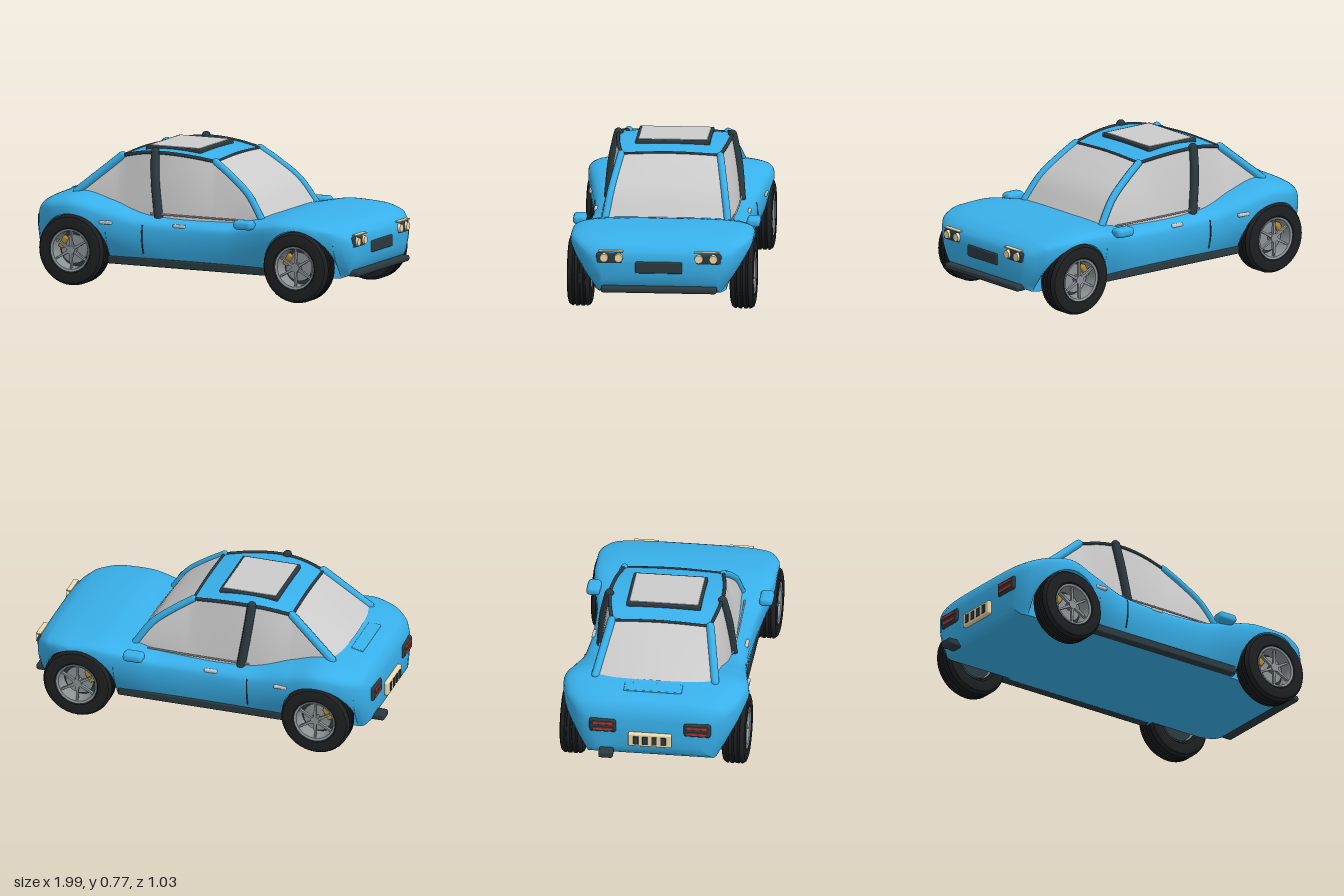
import * as THREE from 'three';
import { toCreasedNormals } from 'three/addons/utils/BufferGeometryUtils.js';
import { RoundedBoxGeometry } from 'three/addons/geometries/RoundedBoxGeometry.js';

const mat = (color, side = THREE.FrontSide) => new THREE.MeshStandardMaterial({ color, side });
const paint = mat(0x38b0ea), paintThin = mat(0x38b0ea, THREE.DoubleSide), dark = mat(0x2b3a40), rubber = mat(0x1d2022);
const glass = mat(0xcccccc, THREE.DoubleSide), grey = mat(0xcccccc), rimGrey = mat(0x8b9397, THREE.DoubleSide);
const cream = mat(0xf0dcae), gold = mat(0xb58a30), red = mat(0xb03a34);
const V = (x, y, z) => new THREE.Vector3(x, y, z);

// Body keys: x, half width, top, bottom, lower half width, height of the widest point
const KEYS = [
  [-0.95, 0.30, 0.36, 0.20, 0.28, 0.29], [-0.94, 0.36, 0.41, 0.16, 0.32, 0.31], [-0.90, 0.42, 0.455, 0.13, 0.35, 0.35],
  [-0.80, 0.485, 0.49, 0.13, 0.38, 0.39], [-0.675, 0.51, 0.51, 0.13, 0.40, 0.40], [-0.50, 0.485, 0.475, 0.13, 0.40, 0.35],
  [-0.25, 0.447, 0.415, 0.13, 0.405, 0.30], [0, 0.435, 0.405, 0.13, 0.405, 0.30], [0.25, 0.445, 0.405, 0.13, 0.405, 0.31],
  [0.40, 0.47, 0.43, 0.13, 0.405, 0.35], [0.60, 0.50, 0.46, 0.13, 0.40, 0.38], [0.75, 0.50, 0.45, 0.13, 0.38, 0.385],
  [0.88, 0.455, 0.425, 0.13, 0.34, 0.37], [0.94, 0.40, 0.395, 0.15, 0.32, 0.33], [0.965, 0.36, 0.37, 0.20, 0.32, 0.31],
  [0.975, 0.33, 0.35, 0.24, 0.31, 0.30]];
const WHEELS = [-0.675, 0.695], WHEEL_Y = 0.198, ARCH = 0.201, N = 4;

// Smooth interpolation of the body keys
function section(x) {
  let i = 0;
  while (i < KEYS.length - 2 && x > KEYS[i + 1][0]) i++;
  const a = KEYS[i], b = KEYS[i + 1], p = KEYS[i - 1] || a, q = KEYS[i + 2] || b;
  const h = b[0] - a[0], t = (x - a[0]) / h, t2 = t * t, t3 = t2 * t;
  return [1, 2, 3, 4, 5].map(k => {
    const slope = (b[k] - a[k]) / h;
    const end = (l, r) => {
      if (l === r) return slope;
      const other = l === p ? (a[k] - p[k]) / (a[0] - p[0]) : (q[k] - b[k]) / (q[0] - b[0]);
      return other * slope <= 0 ? 0 : 2 * other * slope / (other + slope);
    };
    return a[k] * (2 * t3 - 3 * t2 + 1) + b[k] * (3 * t2 - 2 * t3)
      + h * (end(p, a) * (t3 - 2 * t2 + t) + end(b, q) * (t3 - t2));
  });
}

// Half width of the body at a given station and height
function sideZ(x, y) {
  const [w, top, bot, low, mid] = section(x);
  if (y < mid) return low + (w - low) * Math.sin((y - bot) / (mid - bot) * Math.PI / 2);
  return w * Math.pow(Math.max(0, 1 - Math.pow((y - mid) / (top - mid), N)), 1 / N);
}

// Half cross-section from floor centre to top centre, with the wheel arch cut out
function halfRing(x) {
  const [, top, bot, low, mid] = section(x);
  let cut = bot;
  for (const c of WHEELS) if (Math.abs(x - c) < ARCH) cut = WHEEL_Y + Math.sqrt(ARCH ** 2 - (x - c) ** 2);
  const inner = Math.min(low, 0.36), knee = Math.max(mid, cut), pts = [[bot, 0], [bot, inner], [cut, inner]];
  for (let j = 0; j <= 6; j++) { const y = cut + (knee - cut) * j / 6; pts.push([y, sideZ(x, y)]); }
  for (let j = 1; j <= 14; j++) {
    const y = Math.max(knee, mid + (top - mid) * Math.pow(Math.sin(j / 14 * Math.PI / 2), 2 / N));
    pts.push([y, j === 14 ? 0 : sideZ(x, y)]);
  }
  return pts;
}

function bodyGeometry() {
  const xs = KEYS.map(k => k[0]);
  for (let i = 1; i < 50; i++) xs.push(-0.95 + 1.925 * i / 50);
  for (const c of WHEELS) {
    xs.push(c - ARCH - 0.001, c + ARCH + 0.001);
    for (let k = 0; k <= 20; k++) xs.push(c + (ARCH - 0.0002) * Math.cos(k / 20 * Math.PI));
  }
  xs.sort((a, b) => a - b);
  const pos = [], idx = [];
  let n = 0;
  for (const x of xs) {
    const half = halfRing(x), ring = [...half, ...half.slice(1, -1).reverse().map(([y, z]) => [y, -z])];
    n = ring.length;
    for (const [y, z] of ring) pos.push(x, y, z);
  }
  const last = (xs.length - 1) * n, back = xs.length * n;
  pos.push(xs[0], 0.28, 0, xs[xs.length - 1], 0.3, 0);
  for (let j = 0; j < n; j++) {
    const k = (j + 1) % n;
    for (let i = 0; i < last; i += n) idx.push(i + j, i + n + j, i + k, i + n + j, i + n + k, i + k);
    idx.push(back, j, k, back + 1, last + k, last + j);
  }
  const g = new THREE.BufferGeometry();
  g.setAttribute('position', new THREE.Float32BufferAttribute(pos, 3));
  g.setIndex(idx);
  return toCreasedNormals(g, 0.6);
}

// Surface stretched between two point rows, bulged across its middle
function strip(a, b, across, bulge) {
  const pos = [], idx = [];
  a.forEach((p, i) => {
    for (let j = 0; j <= across; j++) {
      const t = j / across, v = p.clone().lerp(b[i], t).addScaledVector(bulge(i / (a.length - 1)), 4 * t * (1 - t));
      pos.push(v.x, v.y, v.z);
      if (i && j) { const d = i * (across + 1) + j, c = d - across - 1; idx.push(c - 1, d - 1, c, d - 1, d, c); }
    }
  });
  const g = new THREE.BufferGeometry();
  g.setAttribute('position', new THREE.Float32BufferAttribute(pos, 3));
  g.setIndex(idx);
  g.computeVertexNormals();
  return g;
}

export function createModel() {
  const car = new THREE.Group();
  car.name = 'car';
  const add = (name, geo, material, x = 0, y = 0, z = 0, parent = car) => {
    const m = new THREE.Mesh(geo, material);
    m.name = name;
    m.position.set(x, y, z);
    parent.add(m);
    return m;
  };
  const box = (name, m, sx, sy, sz, x, y, z, r = 0.008) => add(name, new RoundedBoxGeometry(sx, sy, sz, 2, r), m, x, y, z);
  const curve = pts => new THREE.CatmullRomCurve3(pts);
  const tube = (name, pts, r, m) => {
    add(name, new THREE.TubeGeometry(curve(pts), 20, r, 8), m);
    for (const e of [pts[0], pts[pts.length - 1]]) add(name + 'End', new THREE.SphereGeometry(r, 8, 6), m, e.x, e.y, e.z);
  };
  const flip = pts => pts.map(p => V(p.x, p.y, -p.z));

  add('body', bodyGeometry(), paint);

  // Cabin outline: windscreen pillar, roof edge, rear pillar
  const pillarA = [V(0.41, 0.425, 0.335), V(0.32, 0.55, 0.313), V(0.2, 0.645, 0.29), V(0.1, 0.71, 0.272)];
  const edge = [V(0.1, 0.71, 0.272), V(-0.05, 0.733, 0.298), V(-0.2, 0.743, 0.31), V(-0.33, 0.735, 0.3), V(-0.47, 0.705, 0.272)];
  const pillarC = [V(-0.47, 0.705, 0.272), V(-0.59, 0.605, 0.3), V(-0.72, 0.497, 0.33)];
  const [a, e, c] = [pillarA, edge, pillarC].map(p => curve(p).getPoints(14));
  add('roof', strip(e, flip(e), 12, () => V(0, 0.01, 0)), paintThin);
  add('windscreen', strip(a, flip(a), 12, s => V(0.012 * (1 - s), 0.01 * s, 0)), glass);
  add('rearWindow', strip(c, flip(c), 12, s => V(-0.035 * s, 0.01, 0)), glass);
  tube('frontRoofSeal', [edge[0], V(0.1, 0.72, 0), flip(edge)[0]], 0.008, dark);
  tube('rearRoofSeal', [edge[4], V(-0.47, 0.715, 0), flip(edge)[4]], 0.008, dark);
  box('sunroofFrame', dark, 0.335, 0.03, 0.41, -0.195, 0.744, 0);
  box('sunroofGlass', glass, 0.305, 0.012, 0.38, -0.195, 0.756, 0, 0.004);

  for (const s of [1, -1]) {
    const mir = pts => (s > 0 ? pts : flip(pts));
    const upper = [...a, ...e.slice(1), ...c.slice(1)];
    const lower = upper.map(p => V(p.x, 0.37, 0.335 + 0.028 * (1 - ((p.x + 0.155) / 0.565) ** 2)));
    add('sideGlass', strip(mir(upper), mir(lower), 6, () => V(0, 0, 0.006 * s)), glass);
    tube('windscreenPillar', mir(pillarA), 0.02, paint);
    tube('rearPillar', mir(pillarC), 0.023, paint);
    tube('roofSideSeal', mir(edge), 0.01, dark);
    tube('doorPillar', mir([V(-0.25, 0.745, 0.312), V(-0.235, 0.6, 0.343), V(-0.205, 0.4, 0.363)]), 0.026, dark);
    tube('beltTrim', mir([V(0.33, 0.412, 0.36), V(0.05, 0.412, 0.368), V(-0.25, 0.412, 0.367)]), 0.005, grey);
    for (const x of [-0.47, -0.05]) box('doorHandle', grey, 0.075, 0.02, 0.02, x, 0.363, s * sideZ(x, 0.363), 0.007);
    tube('doorSeam', mir([0.2, 0.25, 0.3, 0.355].map(y => V(-0.265, y, sideZ(-0.265, y)))), 0.004, dark);
    box('sill', dark, 0.97, 0.045, 0.055, 0, 0.15, s * 0.4);
    box('mirror', paint, 0.115, 0.052, 0.075, 0.375, 0.41, s * 0.476, 0.022);

    // Lamps
    box('headlightPanel', dark, 0.04, 0.066, 0.15, 0.958, 0.33, s * 0.27, 0.018);
    for (const z of [0.22, 0.3]) {
      add('headlight', new THREE.CylinderGeometry(0.022, 0.026, 0.03, 20).rotateZ(-Math.PI / 2), cream, 0.975, 0.335, s * z);
    }
    box('headlightBrow', cream, 0.03, 0.007, 0.135, 0.973, 0.372, s * 0.262, 0.003);
    box('tailLightPanel', dark, 0.04, 0.08, 0.15, -0.942, 0.32, s * 0.26, 0.015);
    for (const y of [0.302, 0.338]) box('tailLight', red, 0.01, 0.018, 0.115, -0.961, y, s * 0.26, 0.004);
  }

  // Nose and tail
  box('grille', dark, 0.03, 0.066, 0.258, 0.968, 0.283, 0, 0.01);
  box('frontBumper', dark, 0.07, 0.035, 0.635, 0.958, 0.158, 0, 0.014);
  box('rearPlate', cream, 0.04, 0.08, 0.24, -0.952, 0.248, 0, 0.01);
  for (let i = 0; i < 4; i++) box('plateInset', dark, 0.012, 0.05, 0.03, -0.97, 0.248, (i - 1.5) * 0.05, 0.004);
  box('exhaust', dark, 0.1, 0.04, 0.08, -0.95, 0.158, -0.24, 0.012);
  box('rearDeckLip', paint, 0.07, 0.012, 0.32, -0.805, 0.487, 0, 0.005).rotation.z = 0.17;

  // Wheels: grooved tyre, rim, paired spokes, brake
  const tyre = [[0.112, -0.05], [0.125, -0.063], [0.165, -0.066], [0.184, -0.06], [0.195, -0.045]];
  for (const z of [-0.03, 0, 0.03]) tyre.push([0.197, z - 0.007], [0.191, z - 0.004], [0.191, z + 0.004], [0.197, z + 0.007]);
  tyre.push([0.195, 0.045], [0.184, 0.06], [0.165, 0.066], [0.125, 0.063], [0.112, 0.05], [0.112, -0.05]);
  const rim = [[0.108, -0.055], [0.1, -0.03], [0.1, 0.03], [0.106, 0.056], [0.117, 0.06], [0.117, 0.045]];
  const lathe = pts => toCreasedNormals(
    new THREE.LatheGeometry(pts.map(([r, z]) => new THREE.Vector2(r, z)), 40).rotateX(Math.PI / 2), 0.5);
  const disc = (r, h) => new THREE.CylinderGeometry(r, r, h, 28).rotateX(Math.PI / 2);
  for (const x of WHEELS) for (const s of [1, -1]) {
    const wheel = new THREE.Group();
    wheel.name = x > 0 ? 'frontWheel' : 'rearWheel';
    wheel.position.set(x, WHEEL_Y, s * 0.446);
    if (s < 0) wheel.rotation.y = Math.PI;
    car.add(wheel);
    add('tyre', lathe(tyre), rubber, 0, 0, 0, wheel);
    add('rim', lathe(rim), rimGrey, 0, 0, 0, wheel);
    add('wheelBack', disc(0.101, 0.01), dark, 0, 0, -0.03, wheel);
    add('brakeDisc', disc(0.08, 0.012), rimGrey, 0, 0, 0, wheel);
    add('hub', disc(0.024, 0.035), rimGrey, 0, 0, 0.035, wheel);
    const caliper = add('brakeCaliper', new RoundedBoxGeometry(0.032, 0.07, 0.035, 2, 0.008), gold, -0.062 * s, 0.036, 0.008, wheel);
    caliper.rotation.z = -0.5 * s;
    for (let i = 0; i < 6; i++) for (const d of [-1, 1]) {
      const spoke = new THREE.BoxGeometry(0.009, 0.095, 0.016).translate(0, 0.058, 0.042);
      spoke.rotateZ(d * 0.05).translate(d * 0.005, 0, 0).rotateZ(i * Math.PI / 3);
      add('spoke', spoke, rimGrey, 0, 0, 0, wheel);
    }
  }
  return car;
}
